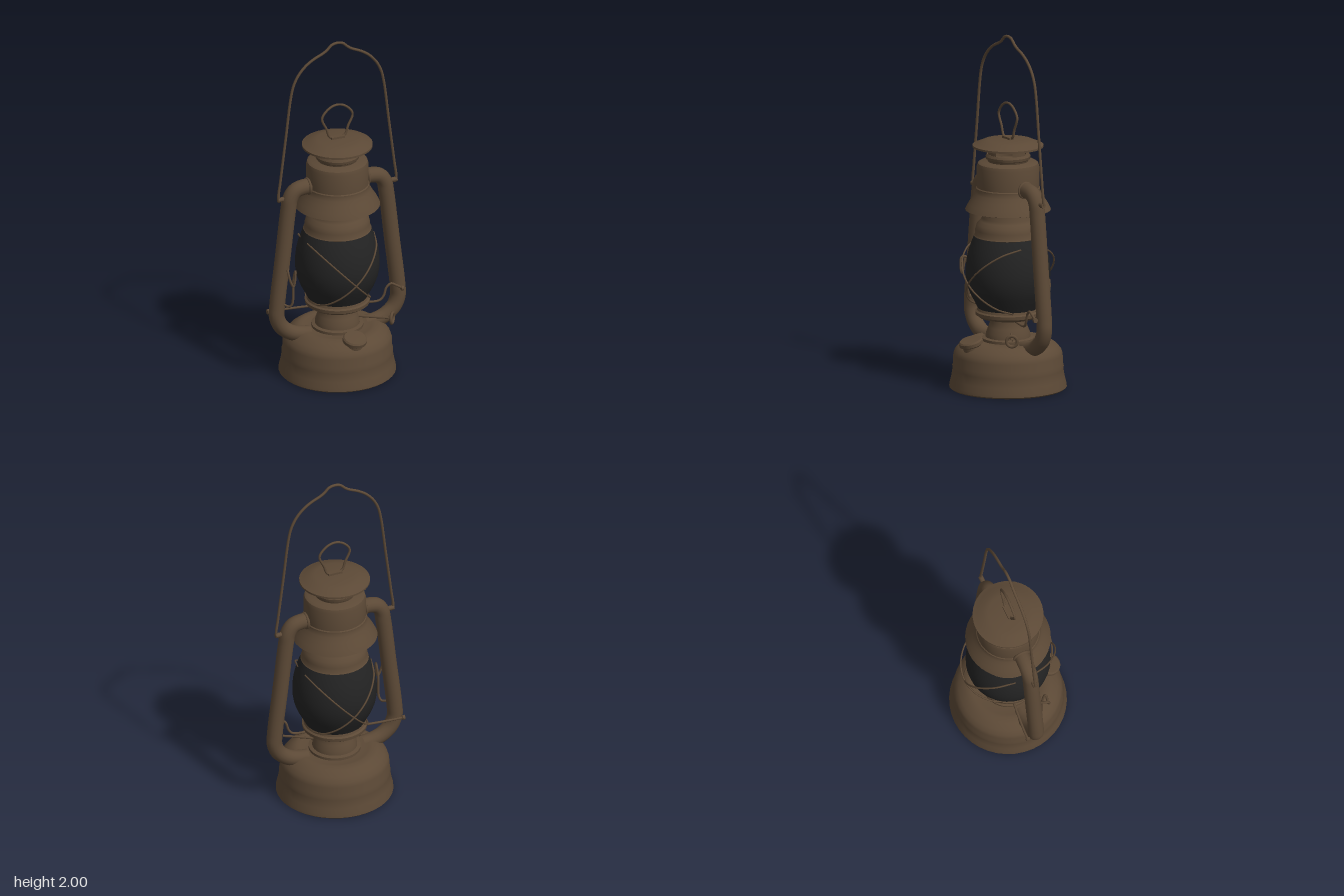
import * as THREE from 'three';
import { toCreasedNormals } from 'three/addons/utils/BufferGeometryUtils.js';

export function createModel() {
  const metal = new THREE.MeshStandardMaterial({ color: 0x5c4936, side: THREE.DoubleSide });
  metal.name = 'agedBrownMetal';
  const glass = new THREE.MeshStandardMaterial({ color: 0x232323 });
  glass.name = 'darkGlass';

  const lantern = new THREE.Group();
  lantern.name = 'lantern';

  const add = (name, geometry, material = metal, parent = lantern) => {
    const mesh = new THREE.Mesh(geometry, material);
    mesh.name = name;
    parent.add(mesh);
    return mesh;
  };
  // Turned part from [radius, height] pairs, listed from bottom to top
  const turned = (name, profile, material = metal, crease = 0.6) => add(name, toCreasedNormals(
    new THREE.LatheGeometry(profile.map(([r, y]) => new THREE.Vector2(r, y)), 40), crease), material);
  // Round wire or pipe through points
  const wire = (name, points, radius, { closed = false, steps = 64, sides = 8, tension = 0.5 } = {}) => {
    const curve = new THREE.CatmullRomCurve3(points.map(p => new THREE.Vector3(...p)), closed,
      tension === 0.5 ? 'centripetal' : 'catmullrom', tension);
    return add(name, new THREE.TubeGeometry(curve, steps, radius, sides, closed));
  };

  // Fuel tank
  turned('fuelTank', [[0, 0], [0.318, 0], [0.327, 0.008], [0.325, 0.025], [0.316, 0.06], [0.308, 0.11],
    [0.31, 0.125], [0.305, 0.14], [0.304, 0.19], [0.296, 0.215], [0.275, 0.24], [0.24, 0.265],
    [0.21, 0.276], [0.19, 0.272], [0.15, 0.27], [0, 0.27]]);

  // Burner and globe plate
  turned('burner', [[0.145, 0.268], [0.145, 0.285], [0.125, 0.29], [0.122, 0.315], [0.11, 0.345], [0.1, 0.375], [0.1, 0.405]]);
  turned('globePlate', [[0.09, 0.402], [0.16, 0.402], [0.168, 0.412], [0.18, 0.416], [0.182, 0.435],
    [0.172, 0.442], [0.168, 0.455], [0, 0.455]]);

  // Glass globe
  turned('globe', [[0.163, 0.445], [0.183, 0.485], [0.207, 0.53], [0.226, 0.58], [0.235, 0.635], [0.235, 0.68],
    [0.229, 0.735], [0.216, 0.79], [0.2, 0.835], [0.188, 0.865]], glass, 1);

  // Collar over the globe
  turned('globeCollar', [[0, 0.856], [0.184, 0.856], [0.19, 0.864], [0.184, 0.872], [0.182, 0.9], [0.174, 0.93],
    [0.155, 0.95], [0.145, 0.965], [0.142, 1.05]]);

  // Flared hood with a closed underside
  turned('hood', [[0.13, 1.04], [0.205, 1.03], [0.232, 1.01], [0.238, 1.012], [0.222, 1.045], [0.2, 1.078], [0.186, 1.105],
    [0.179, 1.12], [0.179, 1.135], [0.174, 1.14], [0.174, 1.255], [0.168, 1.275], [0.152, 1.285], [0, 1.285]]);

  // Chimney neck with four vent posts
  turned('chimneyNeck', [[0.11, 1.28], [0.115, 1.295], [0.122, 1.3], [0.125, 1.315], [0.118, 1.328], [0.1, 1.328], [0.1, 1.29]]);
  for (let i = 0; i < 4; i++) {
    add('ventPost', new THREE.CylinderGeometry(0.115, 0.115, 0.07, 8, 1, true, i * Math.PI / 2 - 0.36, 0.72))
      .position.y = 1.35;
  }

  // Cap
  turned('cap', [[0, 1.378], [0.12, 1.375], [0.185, 1.365], [0.197, 1.367], [0.197, 1.378], [0.17, 1.388],
    [0.14, 1.402], [0.11, 1.408], [0, 1.412]]);
  add('capBracket', new THREE.BoxGeometry(0.08, 0.018, 0.03)).position.y = 1.414;
  wire('capRing', [[-0.042, 1.422, 0], [-0.065, 1.475, 0], [-0.092, 1.545, 0], [-0.05, 1.598, 0], [0, 1.614, 0],
    [0.05, 1.598, 0], [0.092, 1.545, 0], [0.065, 1.475, 0], [0.042, 1.422, 0]], 0.007, { closed: true });

  for (const s of [-1, 1]) {
    // Side air pipes
    wire(s > 0 ? 'leftAirPipe' : 'rightAirPipe', [[0.14, 1.148], [0.21, 1.148], [0.255, 1.135], [0.284, 1.095], [0.296, 1.03],
      [0.33, 0.74], [0.364, 0.45], [0.366, 0.385], [0.342, 0.325], [0.29, 0.28], [0.23, 0.258], [0.17, 0.25]]
      .map(([x, y]) => [s * x, y, 0]), 0.044, { steps: 72, sides: 16 });
    // Seam band where each pipe enters the hood
    const band = add('pipeBand', new THREE.TorusGeometry(0.043, 0.008, 8, 20));
    band.position.set(s * 0.178, 1.148, 0);
    band.rotation.y = Math.PI / 2;
    // Bail eyelet
    const eyelet = add('bailEyelet', new THREE.CylinderGeometry(0.014, 0.014, 0.07, 10));
    eyelet.position.set(s * 0.325, 1.095, 0);
    eyelet.rotation.z = Math.PI / 2;
  }

  // Carrying bail
  const half = [[0.315, 1.09], [0.35, 1.085], [0.356, 1.11], [0.345, 1.2], [0.312, 1.46], [0.282, 1.7], [0.265, 1.775],
    [0.235, 1.835], [0.19, 1.885], [0.14, 1.918], [0.085, 1.943], [0.058, 1.962], [0.035, 1.984]];
  wire('bail', [...half.map(([x, y]) => [-x, y, 0]), [0, 1.992, 0], ...half.slice().reverse().map(([x, y]) => [x, y, 0])],
    0.008, { steps: 120 });

  // Crossed guard wires, bowed out over the front and back of the globe
  for (const face of [-1, 1]) for (const s of [-1, 1]) {
    const points = [];
    for (let i = 0; i <= 14; i++) {
      const t = i / 14, x = -0.2 + 0.36 * t, y = 0.82 - 0.37 * t;
      const bow = Math.sin(Math.PI * t);
      const r = 0.205 - 0.03 * t + 0.078 * Math.pow(bow, 0.8);
      points.push([s * x, y, face * Math.sqrt(Math.max(r * r - x * x, 0))]);
    }
    wire('guardWire', points, 0.005, { steps: 40, sides: 6 });
  }

  // Globe lifting rod with end stops
  wire('liftRod', [[-0.39, 0.395, -0.06], [-0.33, 0.395, -0.058], [-0.1, 0.395, -0.03], [0.1, 0.395, 0.02], [0.235, 0.395, 0.045],
    [0.258, 0.42, 0.05], [0.275, 0.47, 0.052], [0.3, 0.49, 0.055], [0.33, 0.475, 0.057], [0.37, 0.45, 0.06]], 0.007);
  for (const [x, y, z] of [[-0.392, 0.395, -0.06], [0.366, 0.452, 0.06]]) {
    const stop = add('rodStop', new THREE.CylinderGeometry(0.014, 0.014, 0.014, 10));
    stop.position.set(x, y, z);
    stop.rotation.z = Math.PI / 2;
  }

  // Looped lift lever on the right pipe
  wire('liftLever', [[-0.315, 0.68, 0.04], [-0.335, 0.69, 0.085], [-0.325, 0.63, 0.1], [-0.308, 0.6, 0.1], [-0.298, 0.64, 0.1],
    [-0.292, 0.69, 0.09], [-0.296, 0.62, 0.07], [-0.3, 0.48, 0.065], [-0.312, 0.46, 0.055], [-0.335, 0.465, 0.03]], 0.007);

  // Wick stem and ring knob
  wire('wickStem', [[0.08, 0.325, 0.03], [0.16, 0.325, 0.085], [0.25, 0.325, 0.14]], 0.007, { steps: 8 });
  const knob = add('wickKnob', new THREE.TorusGeometry(0.03, 0.009, 8, 20));
  knob.position.set(0.267, 0.325, 0.15);
  knob.rotation.y = 0.9;

  // Tilted filler neck and cap
  const filler = new THREE.Group();
  filler.name = 'filler';
  filler.position.set(0, 0.262, 0.24);
  filler.rotation.x = 0.28;
  lantern.add(filler);
  add('fillerNeck', new THREE.CylinderGeometry(0.048, 0.055, 0.06, 24), metal, filler).position.y = -0.02;
  add('fillerCap', toCreasedNormals(new THREE.LatheGeometry([[0, 0.005], [0.06, 0.005], [0.068, 0.012], [0.068, 0.03],
    [0.06, 0.038], [0, 0.042]].map(([r, y]) => new THREE.Vector2(r, y)), 28), 0.6), metal, filler);

  return lantern;
}
